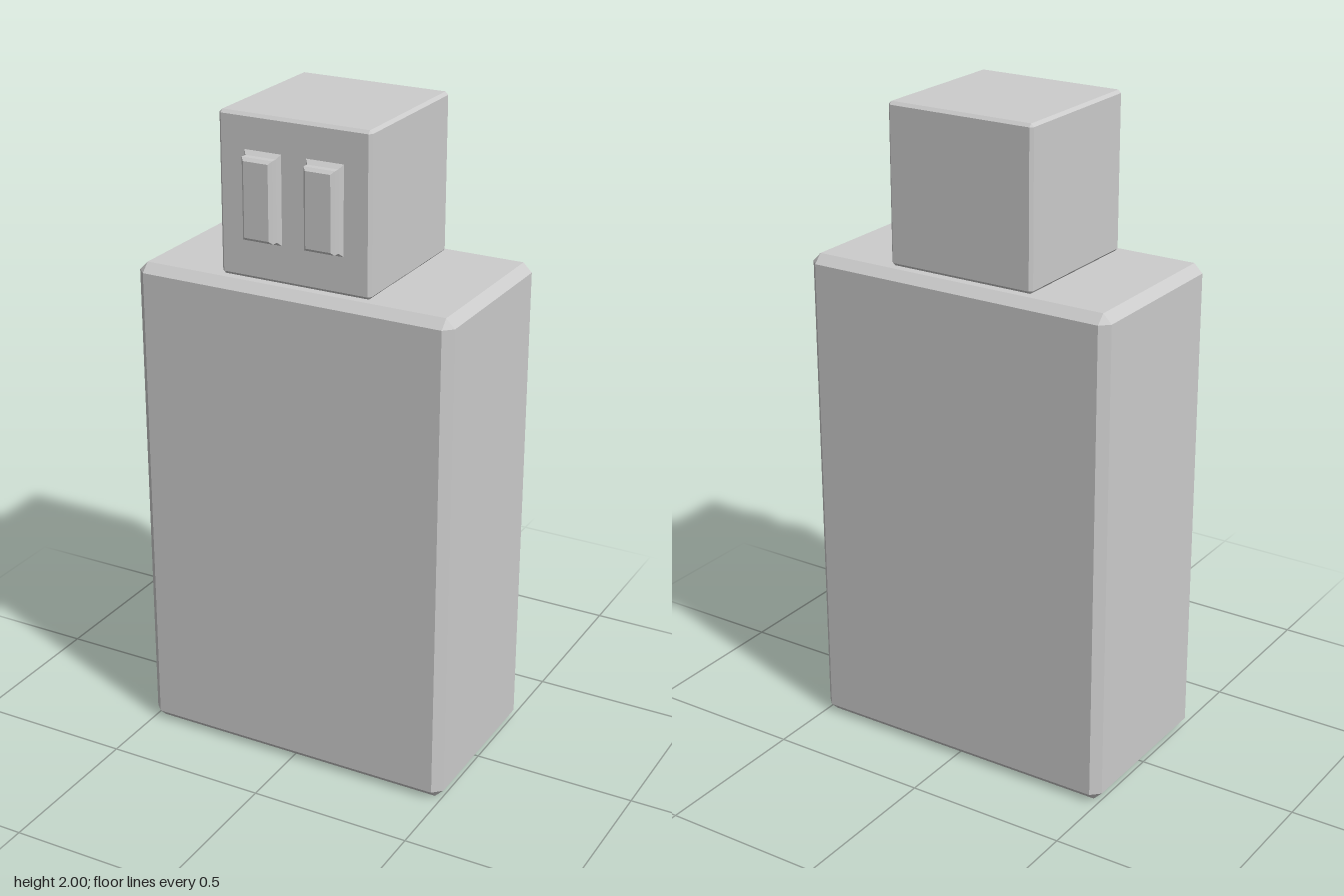
import * as THREE from 'three';
import { ConvexGeometry } from 'three/addons/geometries/ConvexGeometry.js';

const material = new THREE.MeshStandardMaterial({ color: 0xcccccc, flatShading: true });

function addMesh(parent, name, geometry, x, y, z) {
  const mesh = new THREE.Mesh(geometry, material);
  mesh.name = name;
  mesh.position.set(x, y, z);
  parent.add(mesh);
}

// Box with every edge cut by a chamfer c: three inset points per corner
function chamferBox(w, h, d, c) {
  const points = [];
  for (const sx of [-1, 1]) for (const sy of [-1, 1]) for (const sz of [-1, 1]) {
    const [x, y, z] = [w / 2, h / 2, d / 2];
    points.push(
      new THREE.Vector3(sx * x, sy * (y - c), sz * (z - c)),
      new THREE.Vector3(sx * (x - c), sy * y, sz * (z - c)),
      new THREE.Vector3(sx * (x - c), sy * (y - c), sz * z));
  }
  return new ConvexGeometry(points);
}

// Rectangular rings [halfWidth, halfHeight, z] joined from back to front, capped at the front
function loftRects(rings) {
  const corners = [[-1, -1], [1, -1], [1, 1], [-1, 1]];
  const positions = [], index = [];
  for (const [w, h, z] of rings) for (const [sx, sy] of corners) positions.push(sx * w, sy * h, z);
  for (let r = 0; r < rings.length - 1; r++) {
    for (let i = 0; i < 4; i++) {
      const a = r * 4 + i, b = r * 4 + (i + 1) % 4;
      index.push(a, b, b + 4, a, b + 4, a + 4);
    }
  }
  const f = (rings.length - 1) * 4;
  index.push(f, f + 1, f + 2, f, f + 2, f + 3);
  const indexed = new THREE.BufferGeometry();
  indexed.setAttribute('position', new THREE.Float32BufferAttribute(positions, 3));
  indexed.setIndex(index);
  const geometry = indexed.toNonIndexed();
  geometry.computeVertexNormals();
  return geometry;
}

export function createModel() {
  const model = new THREE.Group();
  model.name = 'usbStick';

  // Chamfered case and the plug standing on it
  addMesh(model, 'body', chamferBox(1.008, 1.523, 0.566, 0.027), 0, 0.7615, 0);
  addMesh(model, 'plug', chamferBox(0.476, 0.477, 0.476, 0.009), 0, 1.7615, 0);

  // Two raised tabs with a flared foot on the plug's front
  const tab = loftRects([
    [0.058, 0.131, 0], [0.058, 0.131, 0.238], [0.048, 0.119, 0.25],
    [0.048, 0.119, 0.27], [0.039, 0.11, 0.279],
  ].slice(1));
  for (const [name, side] of [['leftTab', 1], ['rightTab', -1]]) {
    addMesh(model, name, tab, side * 0.097, 1.767, 0);
  }
  return model;
}
